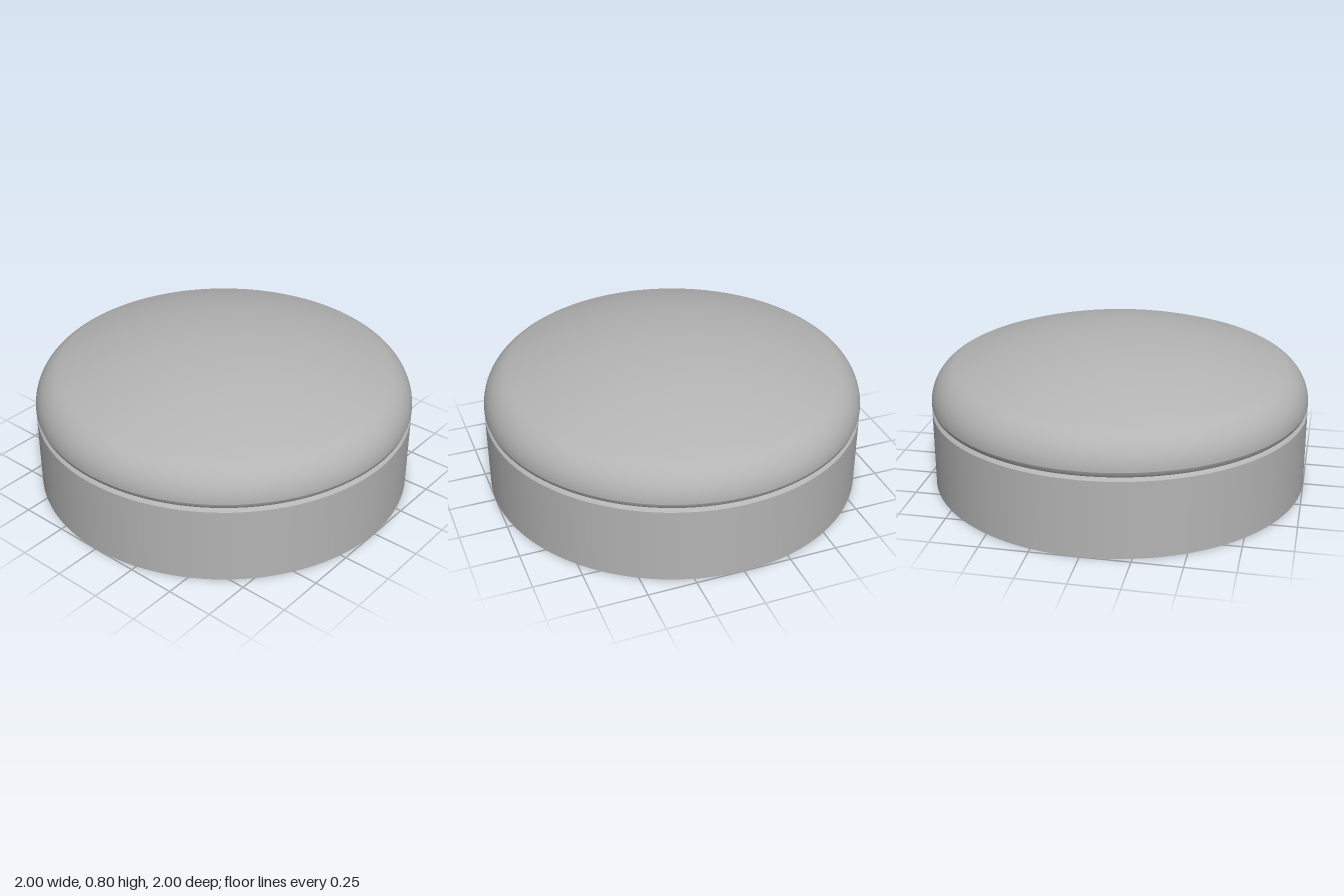
import * as THREE from 'three';

const SEGMENTS = 128;

export function createModel() {
  const group = new THREE.Group();
  group.name = 'domedRoundBox';
  const grey = new THREE.MeshStandardMaterial({ color: 0xb4b4b4 });
  grey.name = 'plain grey';

  // Revolve a profile running from bottom to top
  function addLathe(name, points) {
    const profile = points.map(([r, y]) => new THREE.Vector2(r, y));
    const mesh = new THREE.Mesh(new THREE.LatheGeometry(profile, SEGMENTS), grey);
    mesh.name = name;
    group.add(mesh);
  }

  // Base: flat bottom, straight wall and bevelled rim, kept apart for sharp edges
  addLathe('baseBottom', [[0, 0], [1, 0]]);
  addLathe('baseWall', [[1, 0], [1, 0.405]]);
  addLathe('baseRimBevel', [[1, 0.405], [0.983, 0.42]]);

  // Lid: undercut lip above the groove
  addLathe('lidLip', [[0.983, 0.42], [0.993, 0.43], [1, 0.45]]);

  // Lid: rounded shoulder flowing into a shallow dome
  const lid = [];
  const shoulderEnd = THREE.MathUtils.degToRad(70);
  for (let i = 0; i <= 20; i++) {
    const a = (shoulderEnd * i) / 20;
    lid.push([0.8 + 0.2 * Math.cos(a), 0.45 + 0.2 * Math.sin(a)]);
  }
  const [joinR, joinY] = lid[lid.length - 1];
  const rise = 0.8 - joinY;
  const radius = (joinR * joinR + rise * rise) / (2 * rise);
  for (let i = 1; i <= 20; i++) {
    const r = joinR * (1 - i / 20);
    lid.push([r, 0.8 - radius + Math.sqrt(radius * radius - r * r)]);
  }
  addLathe('lidDome', lid);

  return group;
}
